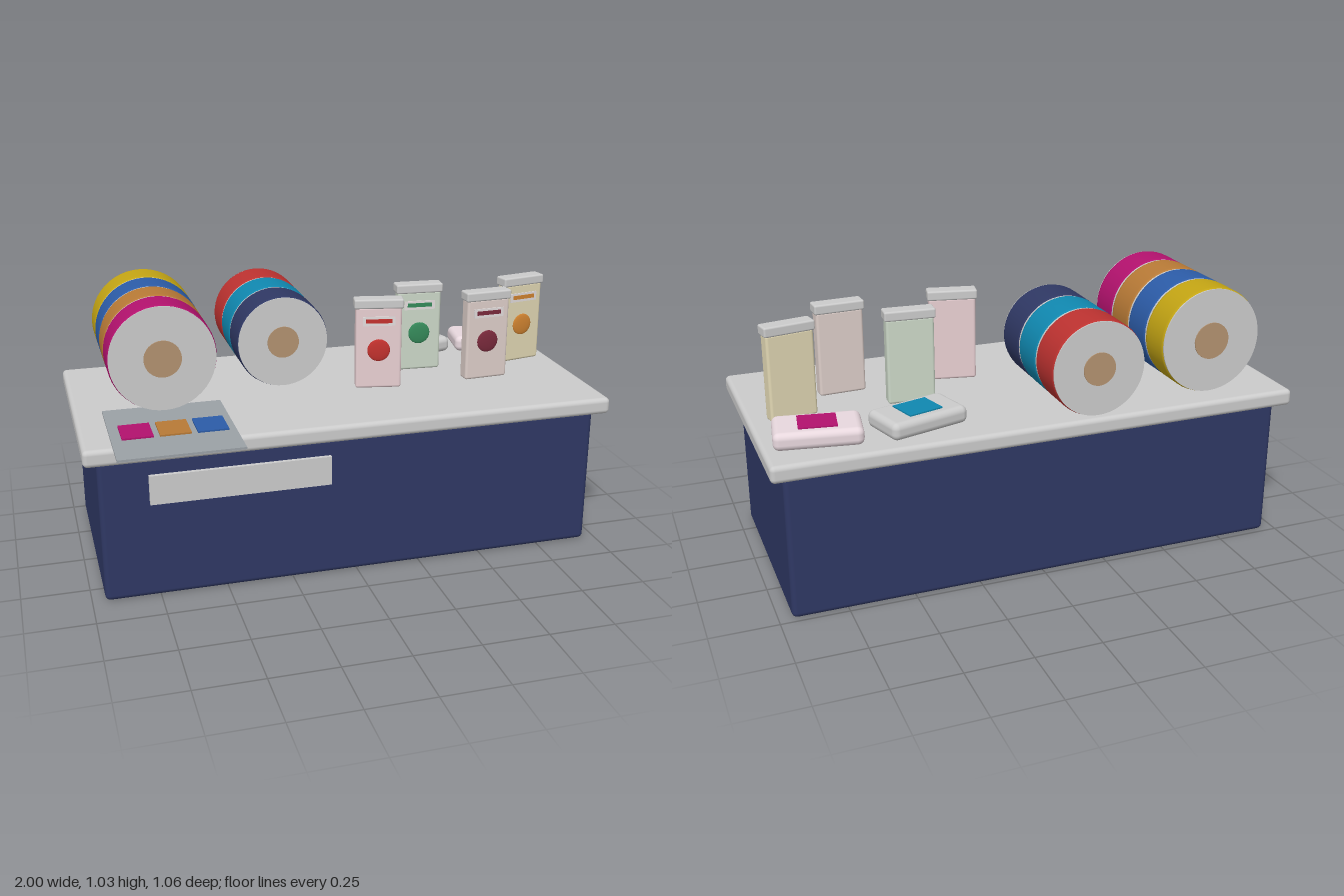
import * as THREE from 'three';
import { RoundedBoxGeometry } from 'three/addons/geometries/RoundedBoxGeometry.js';

const GREY = 0xcccccc;
const mat = (color) => new THREE.MeshStandardMaterial({ color });

function add(parent, name, geometry, color, x = 0, y = 0, z = 0) {
  const mesh = new THREE.Mesh(geometry, mat(color));
  mesh.name = name;
  mesh.position.set(x, y, z);
  parent.add(mesh);
  return mesh;
}

const box = (w, h, d) => new THREE.BoxGeometry(w, h, d);
const rounded = (w, h, d, r) => new RoundedBoxGeometry(w, h, d, 3, r);

function group(parent, name, x, y, z, turn = 0) {
  const g = new THREE.Group();
  g.name = name;
  g.position.set(x, y, z);
  g.rotation.y = turn;
  parent.add(g);
  return g;
}

// Roll lying along z: slightly barrelled wrap, grey end faces, tan core
function addRoll(parent, x, y, z, radius, length, coreRadius, color) {
  const roll = group(parent, 'roll', x, y, z);
  const h = length / 2;
  const profile = [
    [radius - 0.008, -h], [radius - 0.002, -h + 0.005], [radius, -h + 0.014],
    [radius, h - 0.014], [radius - 0.002, h - 0.005], [radius - 0.008, h],
  ].map(([r, l]) => new THREE.Vector2(r, l));
  const wrap = add(roll, 'rollWrap', new THREE.LatheGeometry(profile, 48), color);
  const faces = add(roll, 'rollEndFaces',
    new THREE.CylinderGeometry(radius - 0.004, radius - 0.004, length + 0.004, 48), GREY);
  const core = add(roll, 'rollCore',
    new THREE.CylinderGeometry(coreRadius, coreRadius, length + 0.012, 32), 0xb39270);
  for (const part of [wrap, faces, core]) part.rotation.x = Math.PI / 2;
}

// Upright packet with lid, label stripe and round emblem on the front
function addPacket(parent, x, z, turn, bodyColor, accent) {
  const packet = group(parent, 'packet', x, 0.62, z, turn);
  add(packet, 'packetBody', rounded(0.178, 0.325, 0.055, 0.01), bodyColor, 0, 0.1625, 0);
  add(packet, 'packetLid', rounded(0.19, 0.037, 0.064, 0.007), GREY, 0, 0.337, 0);
  add(packet, 'packetLabel', box(0.125, 0.036, 0.006), 0xe2dcdc, 0, 0.27, 0.0285);
  add(packet, 'packetStripe', box(0.1, 0.016, 0.006), accent, 0, 0.271, 0.031);
  const emblem = add(packet, 'packetEmblem', new THREE.SphereGeometry(0.044, 24, 16), accent, 0, 0.154, 0.0275);
  emblem.scale.z = 0.16;
}

// Flat soft pouch with a coloured patch on top
function addPouch(parent, x, z, turn, bodyColor, patchColor) {
  const pouch = group(parent, 'pouch', x, 0.615, z, turn);
  add(pouch, 'pouchBody', rounded(0.31, 0.065, 0.19, 0.024), bodyColor, 0, 0.0325, 0);
  add(pouch, 'pouchPatch', box(0.135, 0.008, 0.115), patchColor, 0, 0.066, 0);
}

export function createModel() {
  const model = new THREE.Group();
  model.name = 'shopCounter';

  // Counter
  add(model, 'counterBase', rounded(1.905, 0.55, 0.843, 0.02), 0x2f3864, 0, 0.275, -0.064);
  add(model, 'counterTop', rounded(2, 0.064, 0.932, 0.018), GREY, 0, 0.578, -0.064);
  add(model, 'frontPlaque', box(0.663, 0.11, 0.016), GREY, -0.447, 0.445, 0.406);

  // Sample sheet overhanging the front edge, with three swatches
  add(model, 'sampleSheet', box(0.444, 0.008, 0.49), 0x9ba1a6, -0.673, 0.617, 0.285);
  [0xb3126e, 0xb87a36, 0x2c5ca8].forEach((color, i) =>
    add(model, 'swatch', box(0.112, 0.006, 0.134), color, -0.802 + i * 0.134, 0.624, 0.288));

  // Two rows of rolls, front to back
  [0xb3126e, 0xb87a36, 0x2c5ca8, 0xc4a514].forEach((color, i) =>
    addRoll(model, -0.67, 0.826, 0.041 - i * 0.1437, 0.202, 0.139, 0.07, color));
  [0x2f3864, 0x1088b0, 0xbd3230].forEach((color, i) =>
    addRoll(model, -0.182, 0.802, -0.125 - i * 0.1625, 0.18, 0.157, 0.062, color));

  // Packets
  [
    [0.174, 0.043, -0.2, 0xe8cfd2, 0xc4322e],
    [0.398, -0.134, -0.07, 0xccd8c8, 0x358a5a],
    [0.617, 0.045, 0.06, 0xdecfca, 0x7a2a3c],
    [0.842, -0.136, 0.19, 0xe2d8b4, 0xd08330],
  ].forEach((args) => addPacket(model, ...args));

  // Pouches
  addPouch(model, 0.44, -0.358, 0.28, 0xe2e0e0, 0x1088b0);
  addPouch(model, 0.8, -0.358, -0.16, 0xe8d8de, 0xb3126e);

  return model;
}
